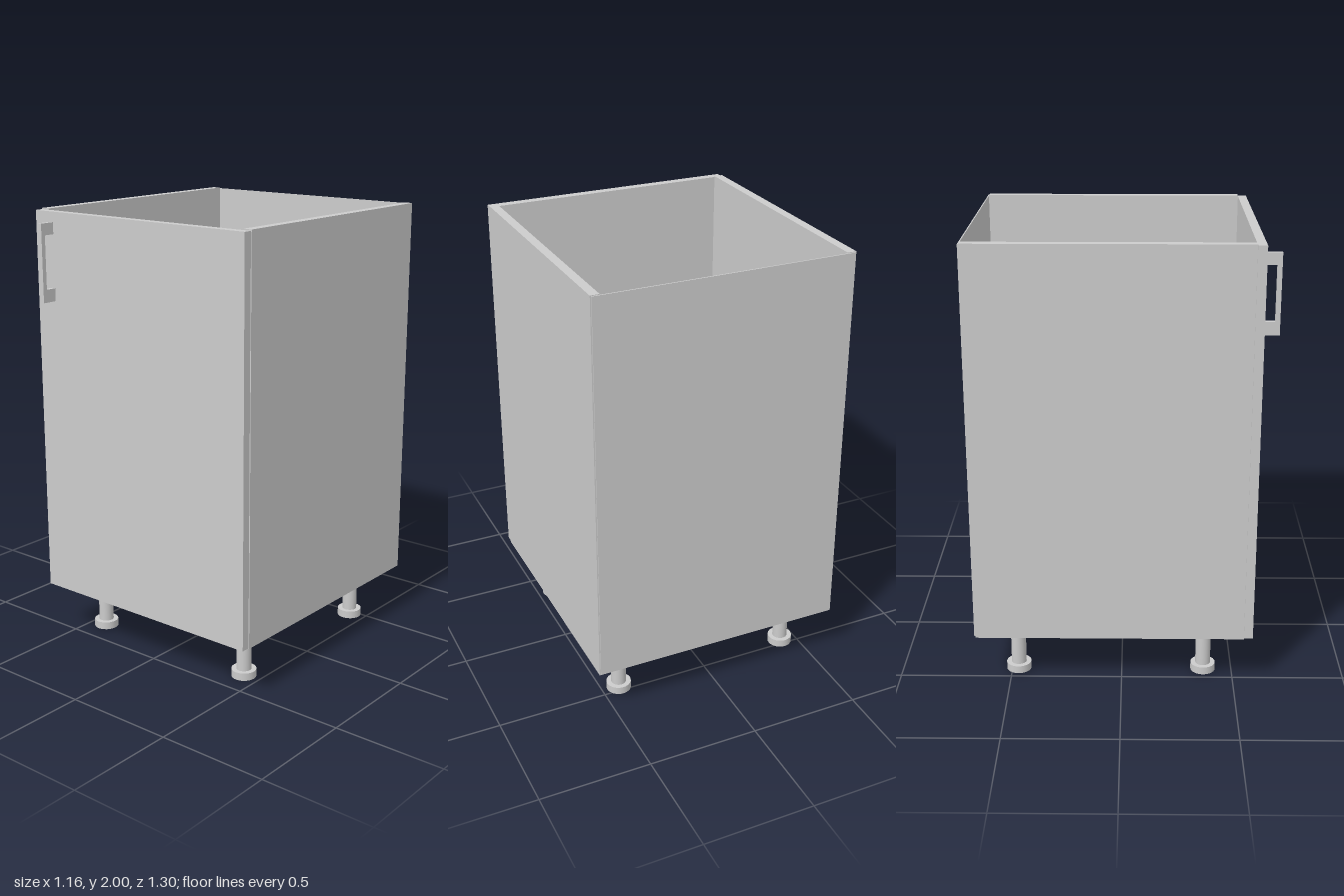
import * as THREE from 'three';

export function createModel() {
  const model = new THREE.Group();
  model.name = 'baseCabinet';
  const grey = new THREE.MeshStandardMaterial({ color: 0xcccccc });

  const add = (name, geometry, x, y, z) => {
    const mesh = new THREE.Mesh(geometry, grey);
    mesh.name = name;
    mesh.position.set(x, y, z);
    model.add(mesh);
  };
  // Box given by its extents along each axis
  const panel = (name, [x0, x1], [y0, y1], [z0, z1]) =>
    add(name, new THREE.BoxGeometry(x1 - x0, y1 - y0, z1 - z0),
      (x0 + x1) / 2, (y0 + y1) / 2, (z0 + z1) / 2);

  // Carcass, open at the top
  panel('leftSide', [0.54, 0.58], [0.24, 2], [-0.645, 0.54]);
  panel('rightSide', [-0.58, -0.54], [0.24, 2], [-0.645, 0.54]);
  panel('floor', [-0.54, 0.54], [0.24, 0.28], [-0.645, 0.54]);
  panel('back', [-0.575, 0.575], [0.245, 1.997], [-0.65, -0.645]);

  // Door, a hair smaller than the carcass
  panel('door', [-0.577, 0.577], [0.242, 1.995], [0.541, 0.58]);

  // Square bracket handle
  const grip = new THREE.Shape();
  grip.moveTo(0, 1.605).lineTo(0.07, 1.605).lineTo(0.07, 1.95).lineTo(0, 1.95)
    .lineTo(0, 1.898).lineTo(0.05, 1.898).lineTo(0.05, 1.662).lineTo(0, 1.662).closePath();
  const handle = new THREE.ExtrudeGeometry(grip, { depth: 0.02, bevelEnabled: false });
  handle.rotateY(-Math.PI / 2); // profile depth points to the front
  add('handle', handle, -0.473, 0, 0.58);

  // Four adjustable legs with wider feet
  for (const x of [-0.42, 0.42]) {
    for (const z of [-0.47, 0.37]) {
      add('leg', new THREE.CylinderGeometry(0.034, 0.034, 0.205, 24), x, 0.1375, z);
      add('foot', new THREE.CylinderGeometry(0.056, 0.056, 0.035, 24), x, 0.0175, z);
    }
  }
  return model;
}
